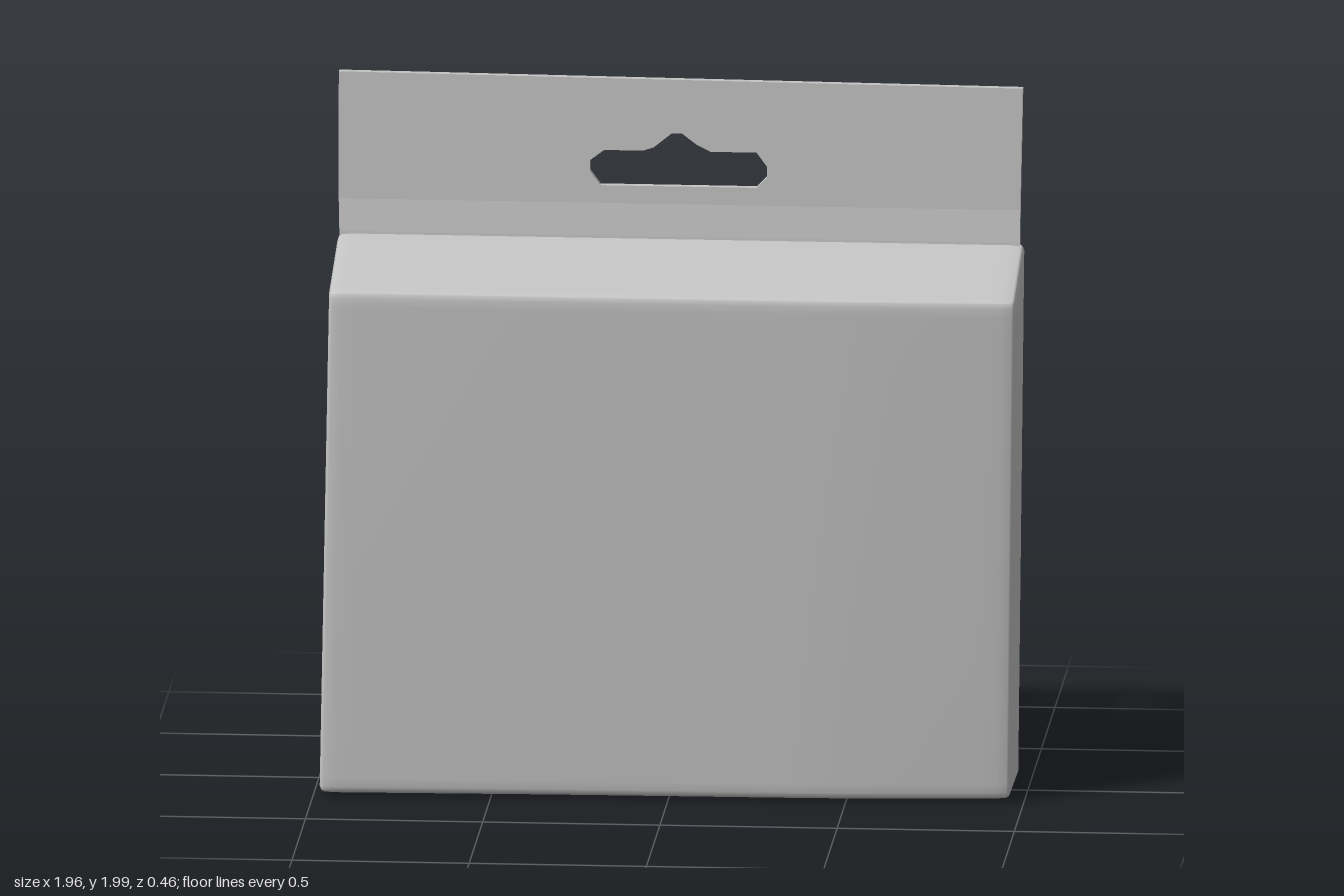
import * as THREE from 'three';
import { mergeVertices } from 'three/addons/utils/BufferGeometryUtils.js';

const lerp = THREE.MathUtils.lerp;

// piecewise linear lookup through [position, value] pairs
function along(points, t) {
  if (t <= points[0][0]) return points[0][1];
  for (let i = 1; i < points.length; i++) {
    const [a, va] = points[i - 1], [b, vb] = points[i];
    if (t <= b) return lerp(va, vb, (t - a) / (b - a));
  }
  return points[points.length - 1][1];
}

// bellied front panel, deeper at the bottom left, pulled back at the right
const frontBottom = [[-0.98, 0.232], [-0.3, 0.21], [0.45, 0.198], [0.96, 0.16]];
const frontTop = [[-0.98, 0.178], [0.5, 0.178], [0.97, 0.165]];
// centre line of the hanging flap in profile
const flapProfile = [[1.5, -0.168], [1.55, -0.174], [1.64, -0.19], [2, -0.219]];

// carton: a dense box with small rounded edges, bent to the sagging outline
function cartonGeometry() {
  let g = new THREE.BoxGeometry(2, 2, 2, 20, 24, 14);
  g.deleteAttribute('normal');
  g.deleteAttribute('uv');
  g = mergeVertices(g);
  const half = new THREE.Vector3(0.97, 0.75, 0.18), r = 0.022;
  const inner = half.clone().subScalar(r);
  const pos = g.attributes.position, p = new THREE.Vector3(), q = new THREE.Vector3();
  const ease = (u) => Math.sign(u) * (1 - (1 - Math.abs(u)) ** 2);
  for (let i = 0; i < pos.count; i++) {
    p.fromBufferAttribute(pos, i);
    p.set(ease(p.x), ease(p.y), ease(p.z)).multiply(half);
    q.copy(p).clamp(inner.clone().negate(), inner);
    p.sub(q);
    if (p.length() > 0) p.setLength(r);
    p.add(q).divide(half);
    const h = (p.y + 1) / 2, d = (p.z + 1) / 2;
    const x = p.x < 0 ? p.x * lerp(0.983, 0.96, h) : p.x * lerp(0.962, 0.978, h);
    const front = lerp(along(frontBottom, x), along(frontTop, x), h);
    const back = lerp(-0.17, -0.19, h);
    const bottom = lerp(0.005, 0.015, d), top = lerp(1.55, 1.455, d);
    pos.setXYZ(i, x, lerp(bottom, top, h), lerp(back, front, d));
  }
  g.computeVertexNormals();
  return g;
}

// flat sheet cut from an outline and leaned along the flap profile
function sheet(outline, hole) {
  const toPoints = (list) => list.map(([x, y]) => new THREE.Vector2(x, y));
  const shape = new THREE.Shape(toPoints(outline));
  if (hole) shape.holes.push(new THREE.Path(toPoints(hole)));
  const thickness = 0.022;
  const g = new THREE.ExtrudeGeometry(shape, { depth: thickness, bevelEnabled: false });
  const pos = g.attributes.position;
  for (let i = 0; i < pos.count; i++) {
    pos.setZ(i, pos.getZ(i) - thickness / 2 + along(flapProfile, pos.getY(i)));
  }
  g.computeVertexNormals();
  return g;
}

export function createModel() {
  const group = new THREE.Group();
  const card = new THREE.MeshStandardMaterial({ color: 0xc4c4c4 });
  card.name = 'grey card';
  const add = (name, geometry) => {
    const mesh = new THREE.Mesh(geometry, card);
    mesh.name = name;
    group.add(mesh);
  };

  add('carton', cartonGeometry());

  // curved foot of the flap
  add('flapRoot', sheet([[-0.955, 1.5], [0.965, 1.5], [0.965, 1.55], [-0.955, 1.55]]));
  add('flapBend', sheet([[-0.955, 1.55], [0.965, 1.55], [0.965, 1.64], [-0.958, 1.64]]));

  // upper flap with the peaked hanging slot
  const slot = [
    [-0.25, 1.73], [-0.22, 1.69], [0.22, 1.69], [0.25, 1.72], [0.25, 1.75],
    [0.22, 1.79], [0.09, 1.79], [0.05, 1.81], [0.01, 1.84], [-0.02, 1.84],
    [-0.07, 1.8], [-0.1, 1.79], [-0.21, 1.79], [-0.25, 1.76],
  ];
  add('hangingFlap', sheet([[-0.958, 1.64], [0.965, 1.64], [0.97, 1.985], [-0.96, 2]], slot));

  return group;
}
